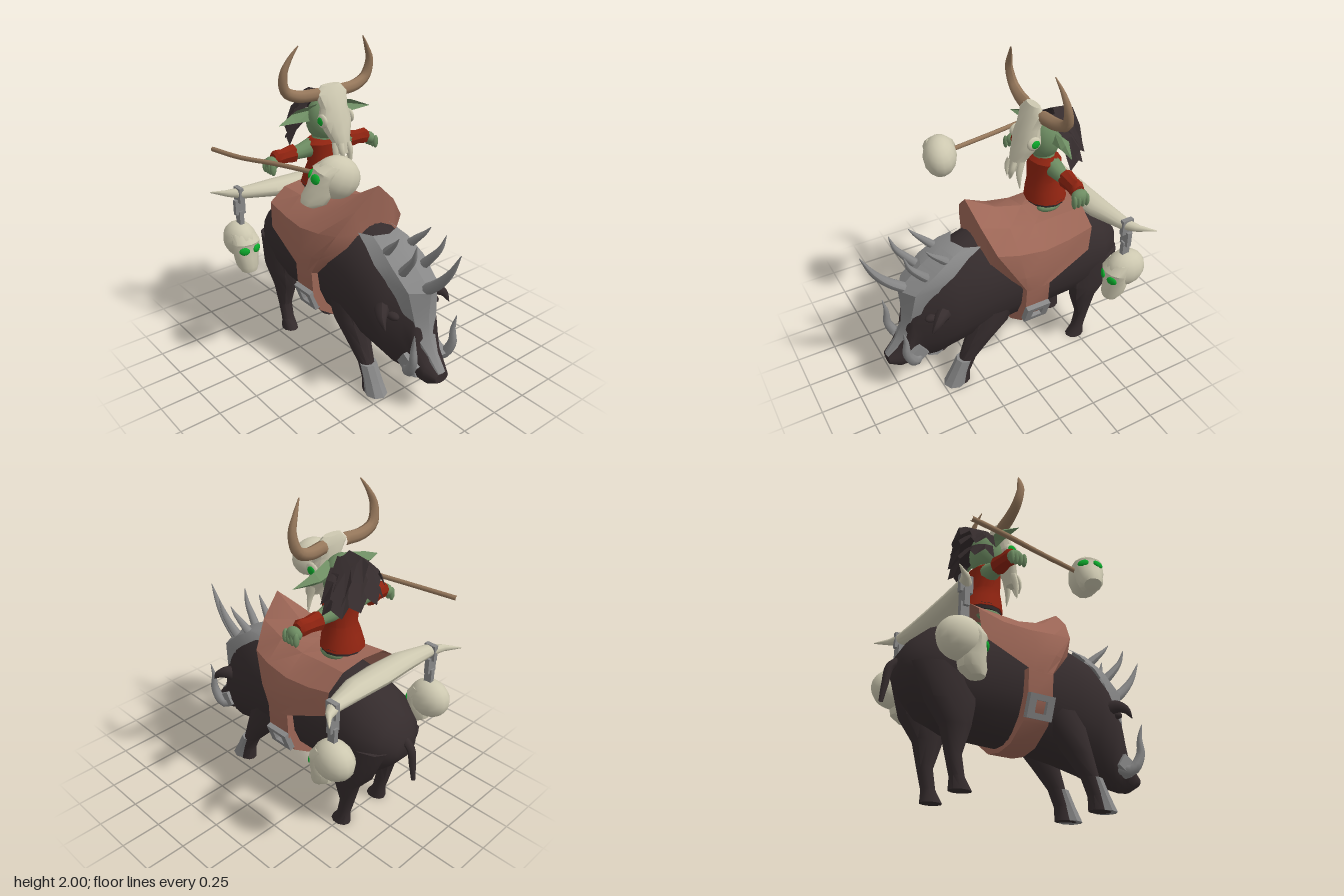
import * as THREE from 'three';
import { toCreasedNormals } from 'three/addons/utils/BufferGeometryUtils.js';

const mat = (name, color, side = THREE.FrontSide) => {
  const m = new THREE.MeshStandardMaterial({ color, side });
  m.name = name;
  return m;
};
const V = (a) => new THREE.Vector3(...a);

export function createModel() {
  const D = THREE.DoubleSide;
  const hide = mat('dark hide', 0x352c2d, D), steel = mat('steel', 0x878787, D), bone = mat('bone', 0xcdc8b0);
  const leather = mat('leather', 0x9c6656, D), tan = mat('tan horn', 0x94765a), red = mat('red cloth', 0x8e2310);
  const skin = mat('green skin', 0x6d8c62, D), glow = mat('glowing green', 0x0cab2c);
  const root = new THREE.Group();

  const add = (parent, name, geo, material, pos = [0, 0, 0], scale = [1, 1, 1]) => {
    const m = new THREE.Mesh(geo, material);
    m.name = name;
    m.position.set(...pos);
    m.scale.set(...scale);
    parent.add(m);
    return m;
  };
  const group = (parent, name) => {
    const g = new THREE.Group();
    g.name = name;
    parent.add(g);
    return g;
  };
  // runs a builder for the left side and again mirrored for the right
  const both = (parent, name, build) => [1, -1].forEach((s) => {
    const g = group(parent, (s > 0 ? 'left ' : 'right ') + name);
    g.scale.x = s;
    build(g);
  });
  // surface through rows of points; closed rows wrap and get end caps
  const skinRows = (rows, closed, crease = 0.7) => {
    const n = rows[0].length, pts = rows.flat(), idx = [];
    for (let i = 0; i < rows.length - 1; i++) for (let j = 0; j < (closed ? n : n - 1); j++) {
      const k = (j + 1) % n, a = i * n + j, b = i * n + k, c = a + n, d = b + n;
      idx.push(a, c, b, b, c, d);
    }
    if (closed) [0, rows.length - 1].forEach((r) => {
      const mid = [0, 1, 2].map((q) => rows[r].reduce((t, p) => t + p[q], 0) / n);
      const c = pts.push(mid) - 1;
      for (let j = 0; j < n; j++) {
        const a = r * n + j, b = r * n + (j + 1) % n;
        r === 0 ? idx.push(c, a, b) : idx.push(c, b, a);
      }
    });
    const g = new THREE.BufferGeometry();
    g.setAttribute('position', new THREE.Float32BufferAttribute(pts.flat(), 3));
    g.setIndex(idx);
    return toCreasedNormals(g, crease);
  };
  // oval sections [position, centre1, centre2, radius1, radius2], listed from high to low along the axis
  const loft = (axis, sections, n = 12) => skinRows(sections.map(([p, c1, c2, r1, r2]) =>
    Array.from({ length: n }, (_, j) => {
      const t = (j / n) * Math.PI * 2, v = [0, 0, 0];
      v[axis] = p;
      v[(axis + 1) % 3] = c1 + r1 * Math.cos(t);
      v[(axis + 2) % 3] = c2 + r2 * Math.sin(t);
      return v;
    })), true);
  // tapered curved tube
  const horn = (points, r, tip = 0.002, seg = 14, n = 8) => {
    const curve = new THREE.CatmullRomCurve3(points.map(V));
    const g = new THREE.TubeGeometry(curve, seg, r, n), p = g.attributes.position, v = new THREE.Vector3();
    for (let i = 0; i < p.count; i++) {
      const t = Math.floor(i / (n + 1)) / seg, c = curve.getPointAt(t);
      v.fromBufferAttribute(p, i).sub(c).multiplyScalar(1 - (1 - tip / r) * t * t).add(c);
      p.setXYZ(i, v.x, v.y, v.z);
    }
    g.computeVertexNormals();
    return g;
  };
  const box = (x, y, z) => new THREE.BoxGeometry(x, y, z);
  const ball = new THREE.SphereGeometry(1, 14, 10);

  // boar body: [z, bottom, top, half width]
  const boar = group(root, 'boar');
  const body = [[.8, .22, .285, .05], [.735, .18, .35, .085], [.68, .175, .44, .1], [.66, .175, .58, .1],
    [.64, .178, .71, .105], [.59, .185, .765, .13], [.5, .2, .85, .2], [.38, .24, .945, .24], [.2, .28, 1.0, .255],
    [0, .31, 1.02, .265], [-.3, .32, 1.02, .265], [-.5, .33, .99, .255], [-.65, .39, .92, .235], [-.76, .5, .82, .17],
    [-.82, .58, .72, .08]].map(([z, b, t, w]) => [z, 0, (b + t) / 2, w, (t - b) / 2]);
  add(boar, 'body', loft(2, body, 18), hide);
  add(boar, 'tail', horn([[0, .7, -.79], [0, .65, -.85], [0, .55, -.87], [0, .45, -.885]], .025, .012), hide);

  // raised steel face plate: [middle y, middle z, edge x, edge y, edge z] from snout to nape
  add(boar, 'face plate', skinRows([[.285, .806, .033, .28, .79], [.375, .74, .045, .35, .7], [.47, .69, .088, .46, .6],
    [.6, .675, .118, .61, .575], [.75, .685, .15, .79, .47], [.885, .53, .165, .86, .39], [.965, .4, .145, .935, .29],
    [.985, .33, .12, .975, .19]].map(([y, z, ex, ey, ez]) => {
    const at = (s, f) => [s * ex, y + (ey - y) * f, z + (ez - z) * f];
    return [at(1, 1), at(.75, .3), at(0, 0), at(-.75, .3), at(-1, 1)];
  }), false, .5), steel);
  add(boar, 'brow spike', horn([[0, .74, .62], [0, .84, .74], [0, .94, .82], [0, 1.07, .885]], .035), steel);

  both(boar, 'boar side', (g) => {
    add(g, 'front spike', horn([[.07, .81, .5], [.09, .9, .58], [.1, .98, .64], [.11, 1.07, .67]], .03), steel);
    add(g, 'back spike', horn([[.08, .89, .37], [.1, .97, .45], [.115, 1.03, .51], [.12, 1.07, .54]], .028), steel);
    add(g, 'tusk', horn([[.07, .31, .6], [.13, .28, .66], [.155, .38, .72], [.155, .48, .72], [.165, .57, .735]], .037), steel);
    add(g, 'tusk band', box(.07, .09, .11), steel, [.1, .31, .64]).rotation.x = .6;
    add(g, 'ear', horn([[.14, .6, .44], [.2, .63, .5], [.24, .61, .55], [.25, .56, .59]], .05), hide);
    add(g, 'eye lid', ball, hide, [.155, .6, .54], [.03, .025, .05]);
    // legs, top to bottom
    add(g, 'front leg', loft(1, [[.62, .1, .15, .16, .09], [.42, .17, .165, .13, .09], [.3, .25, .165, .09, .07],
      [.18, .325, .165, .055, .05], [.08, .365, .165, .05, .05], [0, .385, .165, .07, .055]], 10), hide);
    add(g, 'hoof guard', loft(1, [[.18, .345, .165, .055, .055], [.09, .385, .165, .06, .058], [0, .42, .165, .075, .068]], 8), steel);
    add(g, 'hind leg', loft(1, [[.65, -.6, .14, .19, .1], [.45, -.57, .165, .15, .09], [.33, -.535, .165, .09, .07],
      [.18, -.54, .165, .045, .045], [.07, -.515, .165, .04, .042], [0, -.495, .165, .065, .052]], 10), hide);
  });

  // saddle cloth: rows run from the ridge down each flank, each starting with the turned-in front edge
  const saddle = group(root, 'saddle');
  const flank = [
    [[0, 1, .2], [0, 1.25, .23], [0, 1.13, .03], [0, 1.08, -.15], [0, 1.07, -.32], [0, 1.08, -.48]],
    [[.1, .96, .2], [.14, 1.12, .2], [.16, 1.07, .02], [.16, 1.04, -.15], [.16, 1.05, -.32], [.17, 1.06, -.48]],
    [[.19, .88, .17], [.25, .97, .15], [.28, .95, .02], [.29, .93, -.15], [.28, .94, -.32], [.28, .98, -.48]],
    [[.25, .77, .07], [.3, .8, .05], [.32, .8, 0], [.32, .78, -.12], [.31, .8, -.25], [.29, .82, -.46]],
    [[.25, .66, -.015], [.31, .68, -.02], [.31, .68, -.06], [.31, .68, -.1], [.31, .68, -.14], [.31, .69, -.18]]];
  const mirrorRow = (row) => row.map(([x, y, z]) => [-x, y, z]);
  add(saddle, 'saddle cloth', skinRows([...flank.slice(1).reverse().map(mirrorRow), ...flank], false, .5), leather);
  // girth strap with turned-in edges: [x, y, inner x, inner y]
  const girthHalf = [[.31, .69, .25, .69], [.3, .52, .24, .54], [.25, .4, .19, .43], [.12, .31, .1, .34]];
  const girth = [...girthHalf, [0, .29, 0, .32], ...girthHalf.map(([x, y, a, b]) => [-x, y, -a, b]).reverse()];
  add(saddle, 'girth strap', skinRows(girth.map(([x, y, a, b]) =>
    [[a, b, -.015], [x, y, -.015], [x, y, -.175], [a, b, -.175]]), false), leather);
  const rect = (S, w, h) => new S([[-w, -h], [w, -h], [w, h], [-w, h]].map((p) => new THREE.Vector2(...p)));
  const frame = rect(THREE.Shape, .08, .068);
  frame.holes.push(rect(THREE.Path, .036, .035));
  both(saddle, 'buckle', (g) => {
    const holder = group(g, 'buckle mount');
    holder.position.set(.275, .488, -.095);
    holder.rotation.z = -.35;
    add(holder, 'buckle frame', new THREE.ExtrudeGeometry(frame, { depth: .035, bevelEnabled: false }), steel).rotation.y = Math.PI / 2;
  });

  // human skull facing +z
  const skull = (parent, name, pos) => {
    const g = group(parent, name);
    g.position.set(...pos);
    add(g, 'cranium', ball, bone, [0, .035, -.015], [.102, .12, .132]);
    add(g, 'face', loft(1, [[.1, .02, 0, .07, .08], [.045, .056, 0, .073, .096], [.03, .055, 0, .066, .095],
      [-.02, .058, 0, .068, .09], [-.06, .05, 0, .075, .08], [-.12, .06, 0, .075, .07], [-.155, .08, 0, .045, .052]]), bone);
    [-1, 1].forEach((s) =>
      add(g, 'eye', ball, glow, [s * .045, .002, .113], [.034, .027, .013]).rotation.y = s * .45);
    return g;
  };

  // bone yoke with two hanging skulls
  const yoke = group(root, 'yoke');
  add(yoke, 'yoke bone', loft(0, [.555, .48, .4, .2, 0, -.2, -.4, -.48, -.555].map((x) => {
    const a = Math.abs(x) / .555;
    return [x, 1.015 + .015 * a, -.585 - .05 * a ** 2 - .11 * a ** 6, .004 + .052 * (1 - a ** 3), .004 + .082 * (1 - a ** 2)];
  })), bone);
  both(yoke, 'hanger', (g) => {
    add(g, 'clamp', box(.03, .1, .075), steel, [.415, 1.015, -.635]);
    add(g, 'upper link', box(.07, .1, .03), steel, [.415, .93, -.64]);
    add(g, 'lower link', box(.03, .13, .05), steel, [.415, .84, -.64]);
    skull(g, 'hanging skull', [.418, .665, -.64]);
  });

  // staff topped by a skull
  const staff = group(root, 'staff');
  add(staff, 'staff pole', horn([[-.545, 1.335, -.685], [-.5, 1.34, -.45], [-.42, 1.36, -.18], [-.33, 1.38, .18]], .015, .014), tan);
  const top = skull(staff, 'staff skull', [-.33, 1.355, .225]);
  top.rotation.set(-.4, -1.95, 0, 'YXZ');

  // rider
  const rider = group(root, 'rider');
  add(rider, 'tunic', loft(1, [[1.41, -.3, 0, .06, .09], [1.38, -.3, 0, .095, .125], [1.25, -.295, 0, .095, .1],
    [1.19, -.305, 0, .115, .115], [1.11, -.315, 0, .13, .135]]), red);
  add(rider, 'tunic hem', loft(1, [[1.125, -.315, 0, .122, .132], [1.09, -.315, 0, .115, .125]]), hide);
  add(rider, 'neck', loft(1, [[1.48, -.28, 0, .05, .055], [1.38, -.3, 0, .07, .085]]), skin);
  add(rider, 'head', ball, skin, [0, 1.52, -.29], [.11, .135, .1]);
  both(rider, 'limbs', (g) => {
    add(g, 'foot', ball, skin, [.07, 1.075, -.3], [.05, .035, .08]);
    add(g, 'upper arm', loft(0, [[.25, 1.335, -.31, .035, .035], [.16, 1.34, -.31, .045, .045], [.08, 1.35, -.31, .06, .06]]), skin);
    add(g, 'sleeve', loft(0, [[.355, 1.335, -.31, .036, .036], [.335, 1.335, -.31, .052, .046], [.28, 1.335, -.315, .045, .045],
      [.205, 1.335, -.32, .058, .052]], 8), red);
    add(g, 'palm', ball, skin, [.37, 1.315, -.305], [.038, .04, .05]);
    for (let i = 0; i < 4; i++) add(g, 'finger', ball, skin, [.39, 1.295, -.34 + i * .027], [.02, .042, .015]);
    add(g, 'ear', skinRows([[[.34, 1.545, -.26], [.2, 1.605, -.28], [.07, 1.63, -.25]],
      [[.34, 1.545, -.26], [.2, 1.57, -.33], [.07, 1.58, -.31]],
      [[.34, 1.545, -.26], [.2, 1.53, -.28], [.07, 1.52, -.28]]], false, .3), skin);
  });

  // hair swept back in three jagged layers: [start height, start width, end height, end width, drop at the sides]
  const hair = group(rider, 'hair');
  [[1.69, .05, 1.63, .19, .13], [1.64, .1, 1.54, .22, .07], [1.56, .1, 1.43, .21, .03]].forEach(([y0, w0, y1, w1, drop]) => {
    const arc = (y, w, depth, fall, jag) => Array.from({ length: 11 }, (_, j) => {
      const t = Math.PI * (j / 10), d = j % 2 ? -jag : jag;
      return [Math.cos(t) * w, y - d - fall * Math.abs(Math.cos(t)), -.29 - (depth + d * .4) * Math.sqrt(Math.sin(t) + .08)];
    });
    add(hair, 'hair layer', skinRows([arc(y0, w0, .05, .03, 0),
      arc((y0 + y1) / 2 + .02, (w0 + w1) / 2, .14, drop * .65, 0), arc(y1, w1, .195, drop, .025)], false, .2), hide);
  });

  // horned animal skull worn as a mask
  const mask = group(rider, 'skull mask');
  add(mask, 'mask face', loft(1, [[1.745, -.215, 0, .025, .065], [1.7, -.21, 0, .045, .112], [1.62, -.185, 0, .06, .09],
    [1.55, -.175, 0, .07, .113], [1.48, -.15, 0, .065, .085], [1.42, -.12, 0, .05, .056], [1.36, -.1, 0, .035, .045]]), bone);
  both(mask, 'mask side', (g) => {
    add(g, 'socket', ball, bone, [.098, 1.55, -.165], [.018, .042, .045]);
    add(g, 'glowing eye', ball, glow, [.109, 1.55, -.168], [.011, .026, .029]);
    add(g, 'nose prong', horn([[.025, 1.42, -.085], [.03, 1.37, -.065], [.02, 1.31, -.06]], .02), bone);
    add(g, 'cheek prong', horn([[.04, 1.42, -.12], [.05, 1.34, -.1], [.062, 1.25, -.1]], .022), bone);
    add(g, 'horn', horn([[.08, 1.695, -.225], [.21, 1.7, -.245], [.29, 1.74, -.25], [.312, 1.84, -.235],
      [.275, 1.93, -.22], [.23, 2, -.2]], .038, .003, 20), tan);
  });
  return root;
}
